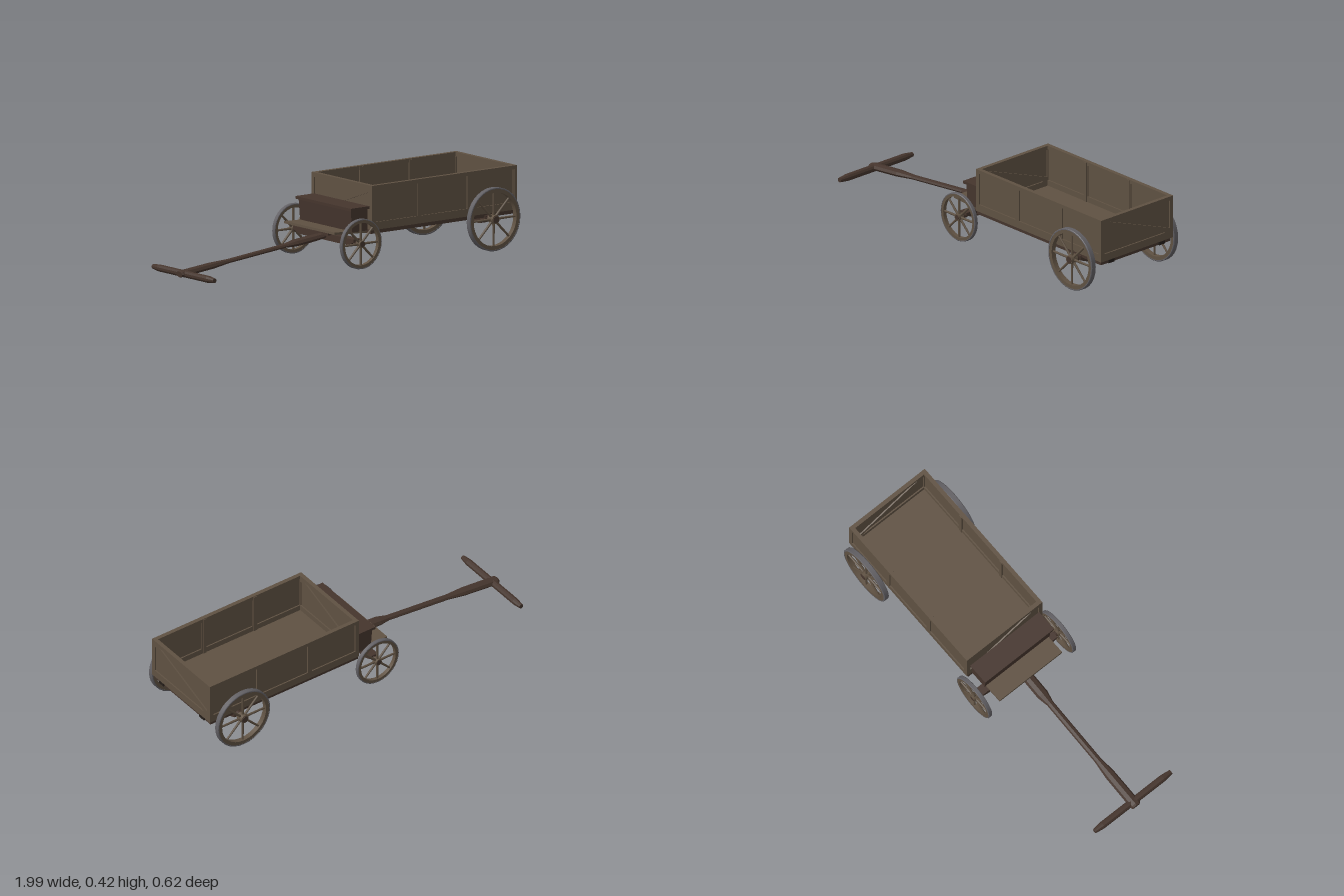
import * as THREE from 'three';

const mat = (name, color) => Object.assign(new THREE.MeshStandardMaterial({ color }), { name });

export function createModel() {
  const wood = mat('weathered wood', 0x5f5142);
  const dark = mat('dark wood', 0x45352d);
  const iron = mat('tyre iron', 0x615f63);
  const black = mat('blackened iron', 0x241d19);
  const wagon = new THREE.Group();
  wagon.name = 'wagon';

  const add = (name, geo, m, parent = wagon) => {
    const mesh = new THREE.Mesh(geo, m);
    mesh.name = name;
    parent.add(mesh);
    return mesh;
  };
  // box given by its limits on each axis
  const box = (name, m, x0, x1, y0, y1, z0, z1, parent = wagon) => {
    const b = add(name, new THREE.BoxGeometry(x1 - x0, y1 - y0, z1 - z0), m, parent);
    b.position.set((x0 + x1) / 2, (y0 + y1) / 2, (z0 + z1) / 2);
    return b;
  };
  const poly = (pts, Type = THREE.Shape) => new Type(pts.map(p => new THREE.Vector2(...p)));
  // faceted turned piece along y; profile is [radius, height]
  const turned = (profile, sides) => {
    const g = new THREE.LatheGeometry(profile.map(p => new THREE.Vector2(...p)), sides).toNonIndexed();
    g.computeVertexNormals();
    return g;
  };

  // framed wall: outline with holes, thin panel recessed on both faces
  const T = 0.022;
  const framedWall = (name, halfW, holes) => {
    const wall = new THREE.Group();
    wall.name = name;
    const frame = poly([[-halfW, 0.19], [halfW, 0.19], [halfW, 0.42], [-halfW, 0.42]]);
    holes.forEach(h => frame.holes.push(poly(h, THREE.Path)));
    const g = new THREE.ExtrudeGeometry(frame, { depth: T, bevelEnabled: false });
    g.translate(0, 0, -T / 2);
    add('wallFrame', g, wood, wall);
    box('wallPanel', wood, -halfW + 0.01, halfW - 0.01, 0.2, 0.41, -0.004, 0.004, wall);
    wagon.add(wall);
    return wall;
  };

  // side walls with three panels each
  const bays = [-0.315, 0, 0.315].map(c => {
    const w = c === 0 ? 0.148 : 0.141;
    return [[c - w, 0.23], [c - w, 0.4], [c + w, 0.4], [c + w, 0.23]];
  });
  for (const s of [1, -1]) {
    const side = framedWall(s > 0 ? 'frontSideWall' : 'backSideWall', 0.47, bays);
    side.position.set(0.525, 0, s * (0.25 - T / 2));
    // inner posts, just proud of the rim
    for (const x of [0.36, 0.68]) {
      box('innerPost', wood, x - 0.01, x + 0.01, 0.19, 0.416, s * 0.227 - 0.003, s * 0.227 + 0.003);
    }
  }

  // end walls with a diagonal brace
  const braced = [
    [[-0.19, 0.398], [0.227, 0.398], [0.227, 0.247]],
    [[-0.227, 0.385], [0.2, 0.23], [-0.227, 0.23]],
  ];
  for (const x of [0.995 - T / 2, 0.055 + T / 2]) {
    const end = framedWall(x > 0.5 ? 'tailWall' : 'headWall', 0.2495, braced);
    end.rotation.y = Math.PI / 2;
    end.position.x = x;
  }

  // floor and underframe
  box('bedFloor', wood, 0.06, 0.99, 0.188, 0.2, -0.235, 0.235);
  box('underframe', dark, 0.055, 0.985, 0.17, 0.19, -0.242, 0.242);
  for (const z of [0.175, -0.175]) box('tailHinge', black, 0.97, 0.993, 0.17, 0.188, z - 0.02, z + 0.02);

  // seat box, its lid and the foot board
  const seat = poly([[-0.045, 0.185], [0.055, 0.185], [0.055, 0.3], [-0.055, 0.3]]);
  add('seatBox', new THREE.ExtrudeGeometry(seat, { depth: 0.43, bevelEnabled: false }).translate(0, 0, -0.215), dark);
  box('seatLid', dark, -0.065, 0.055, 0.298, 0.312, -0.228, 0.228);
  const foot = box('footBoard', wood, -0.155, 0.055, 0.178, 0.19, -0.207, 0.207);
  foot.rotation.z = -0.06;

  // axle beams with chamfered ends
  const beam = (name, x, w, y0, y1) => {
    const s = poly([[-0.2, y0], [0.2, y0], [0.25, y0 + 0.02], [0.25, y1], [-0.25, y1], [-0.25, y0 + 0.02]]);
    const g = new THREE.ExtrudeGeometry(s, { depth: w, bevelEnabled: false });
    g.translate(0, 0, -w / 2).rotateY(Math.PI / 2);
    add(name, g, dark).position.x = x;
  };
  beam('frontAxleBeam', -0.04, 0.05, 0.12, 0.155);
  beam('rearAxleBeam', 0.815, 0.05, 0.135, 0.18);
  box('turntable', dark, -0.08, 0.02, 0.15, 0.182, -0.06, 0.06);

  // closed rectangular ring around the z axis, with chamfered outer edge
  const ring = (r0, r1, w, c) => {
    const h = w / 2;
    const pts = [[r0, -h], [r1 - c, -h], [r1, -h + c], [r1, h - c], [r1 - c, h], [r0, h], [r0, -h]];
    const pos = [];
    // one band per profile edge keeps edges sharp and the round smooth
    for (let i = 0; i < pts.length - 1; i++) {
      const band = new THREE.LatheGeometry([pts[i], pts[i + 1]].map(p => new THREE.Vector2(...p)), 32);
      pos.push(band.rotateX(Math.PI / 2));
    }
    return pos;
  };

  const wheel = (name, x, y, z, r, w, hubOut) => {
    const g = new THREE.Group();
    g.name = name;
    ring(r * 0.84, r * 0.965, w * 0.9, 0.001).forEach(b => add('rim', b, wood, g));
    ring(r * 0.955, r, w, 0.003).forEach(b => add('tyre', b, iron, g));
    for (let i = 0; i < 8; i++) {
      const a = i * Math.PI / 4;
      const spoke = add('spoke', new THREE.CylinderGeometry(0.0055, 0.007, r * 0.87, 6), wood, g);
      spoke.position.set(-Math.sin(a) * r * 0.435, Math.cos(a) * r * 0.435, 0);
      spoke.rotation.z = a;
    }
    add('hub', new THREE.CylinderGeometry(r * 0.14, r * 0.14, w * 1.4, 12).rotateX(Math.PI / 2), wood, g);
    const len = hubOut - 0.23;
    const axle = add('axleEnd', new THREE.CylinderGeometry(r * 0.11, r * 0.11, len, 10).rotateX(Math.PI / 2), dark, g);
    axle.position.z = Math.sign(z) * (0.23 + len / 2) - z;
    g.position.set(x, y, z);
    wagon.add(g);
  };
  for (const s of [1, -1]) {
    wheel('frontWheel', -0.04, 0.135, s * 0.278, 0.13, 0.023, 0.295);
    wheel('rearWheel', 0.815, 0.166, s * 0.286, 0.165, 0.03, 0.31);
  }

  // draw pole, thick at both ends
  const a = new THREE.Vector3(-0.03, 0.145, 0), b = new THREE.Vector3(-0.998, 0.047, 0);
  const L = a.distanceTo(b);
  const pole = add('drawPole', turned([
    [0, 0], [0.02, 0], [0.025, 0.13], [0.025, 0.22], [0.015, 0.28], [0.015, 0.66],
    [0.023, 0.76], [0.024, L - 0.01], [0.02, L], [0, L],
  ], 8), dark);
  pole.geometry.scale(1, 1, 0.8);
  pole.geometry.rotateY(Math.PI / 2);
  pole.geometry.computeVertexNormals();
  pole.geometry.scale(0.95, 1, 1.25);
  pole.position.copy(a);
  pole.quaternion.setFromUnitVectors(new THREE.Vector3(0, 1, 0), b.clone().sub(a).normalize());

  // cross handle with tapered ends
  const handle = add('crossHandle', turned([
    [0, -0.253], [0.012, -0.253], [0.019, -0.2], [0.019, 0.2], [0.012, 0.253], [0, 0.253],
  ], 10), dark);
  handle.rotation.x = Math.PI / 2;
  handle.position.set(-0.967, 0.047, 0);

  return wagon;
}
